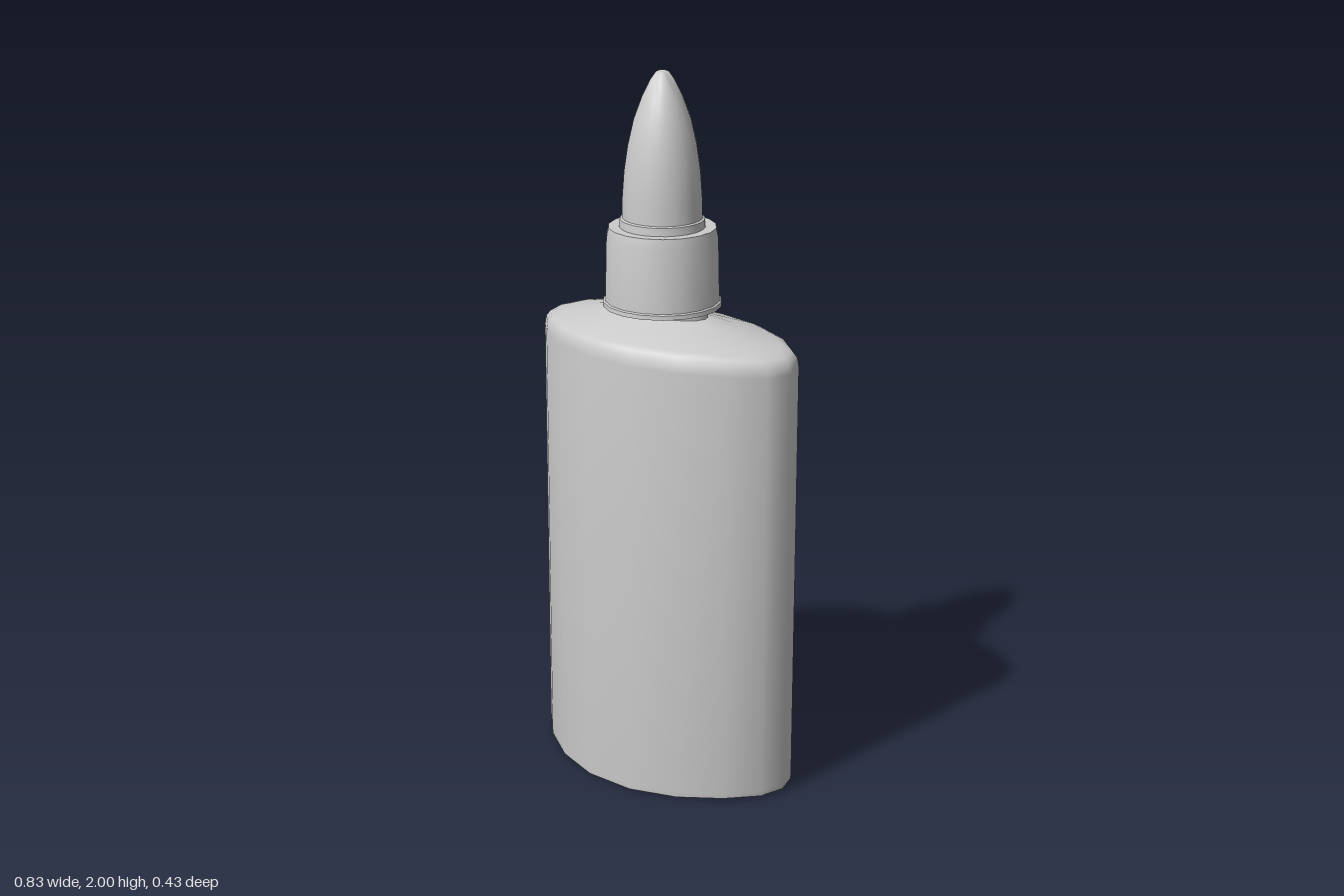
import * as THREE from 'three';
import { toCreasedNormals } from 'three/addons/utils/BufferGeometryUtils.js';

const CENTRE_Z = -0.02;
const material = new THREE.MeshStandardMaterial({ color: 0xcccccc });

function addMesh(group, name, geometry, crease = 0.75) {
  const mesh = new THREE.Mesh(toCreasedNormals(geometry, crease), material);
  mesh.name = name;
  group.add(mesh);
  return mesh;
}

// Half of the bottle's outline seen from above, from back to front (x, z)
const half = [
  [0.08, -0.216], [0.21, -0.208], [0.32, -0.172], [0.395, -0.115], [0.416, -0.05],
  [0.395, 0.022], [0.32, 0.098], [0.21, 0.17], [0.075, 0.214],
];
const outline = [...half, ...half.map(([x, z]) => [-x, z]).reverse()];

// Bottle cross-sections: scale, height at the ends, extra height at the middle
const sections = [
  [0.98, 0.012, -0.01], [0.995, 0.014, -0.009], [1, 0.028, -0.008],
  [1, 1.235, 0.02], [0.988, 1.26, 0.02], [0.95, 1.277, 0.02], [0.88, 1.286, 0.02],
  [0.6, 1.312, 0.012], [0.34, 1.34, 0.002], [0.335, 1.4, 0],
];

function bottleGeometry() {
  const positions = [], index = [], n = outline.length;
  for (const [s, y, lift] of sections) {
    for (const [x, z] of outline) {
      positions.push(x * s, y + lift * (1 - (x / 0.416) ** 2), CENTRE_Z + (z - CENTRE_Z) * s);
    }
  }
  const bottom = positions.length / 3, top = bottom + 1;
  positions.push(0, 0.008, CENTRE_Z, 0, 1.4, CENTRE_Z);
  const last = (sections.length - 1) * n;
  for (let i = 0; i < n; i++) {
    const j = (i + 1) % n;
    for (let k = 0; k < last; k += n) {
      index.push(k + i, k + n + i, k + j, k + j, k + n + i, k + n + j);
    }
    index.push(bottom, i, j, top, last + j, last + i);
  }
  const geometry = new THREE.BufferGeometry();
  geometry.setAttribute('position', new THREE.Float32BufferAttribute(positions, 3));
  geometry.setIndex(index);
  return geometry;
}

function addLathe(group, name, profile, sides) {
  const points = profile.map(([r, y]) => new THREE.Vector2(r, y));
  addMesh(group, name, new THREE.LatheGeometry(points, sides)).position.z = CENTRE_Z;
}

export function createModel() {
  const group = new THREE.Group();
  group.name = 'squeezeBottle';

  addMesh(group, 'bottleBody', bottleGeometry());

  // Hollow collar with a small lip at its lower edge
  addLathe(group, 'collar', [
    [0, 1.55], [0.143, 1.55], [0.147, 1.36], [0.163, 1.36], [0.162, 1.372],
    [0.157, 1.375], [0.153, 1.55], [0.147, 1.578], [0.105, 1.578],
  ], 18);

  // Pointed cap with a thin ring at its foot
  addLathe(group, 'nozzleRing', [
    [0.117, 1.575], [0.115, 1.6], [0.107, 1.604],
  ], 24);
  addLathe(group, 'nozzleCap', [
    [0.109, 1.6], [0.108, 1.66], [0.103, 1.73], [0.093, 1.8], [0.077, 1.87],
    [0.055, 1.93], [0.033, 1.975], [0.018, 1.996], [0.01, 2], [0, 2],
  ], 24);

  return group;
}
